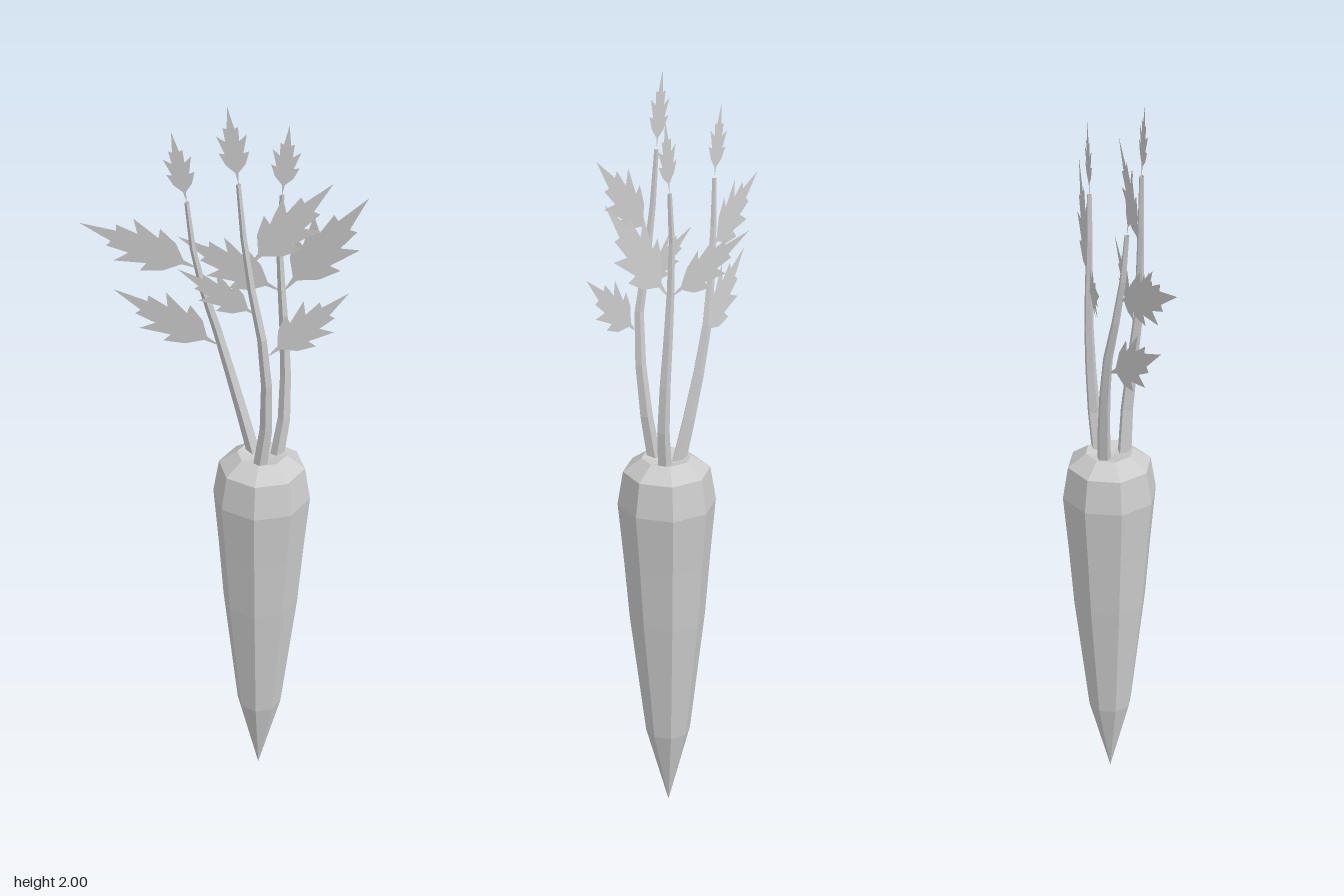
import * as THREE from 'three';

const grey = new THREE.MeshStandardMaterial({ color: 0xcccccc, flatShading: true });
const thin = new THREE.MeshStandardMaterial({ color: 0xcccccc, flatShading: true, side: THREE.DoubleSide });
const V = (p) => new THREE.Vector3(...p);

// Lobed leaf outline of unit length, growing along +y
const half = [[0.02, 0.15], [0.13, 0.26], [0.2, 0.42], [0.12, 0.4], [0.2, 0.64], [0.09, 0.56], [0.1, 0.74], [0.05, 0.72]];
const outline = [[0, 0], ...half, [0, 1], ...half.map(([x, y]) => [-x, y]).reverse()];
const leafGeometry = new THREE.ShapeGeometry(new THREE.Shape(outline.map(([x, y]) => new THREE.Vector2(x, y))));

// Flat upright leaf from its base to its tip
function makeLeaf(name, from, to, width = 1) {
  const a = V(from), dir = V(to).sub(a), length = dir.length();
  dir.normalize();
  const side = dir.clone().cross(new THREE.Vector3(0, 0, 1)).normalize();
  const leaf = new THREE.Mesh(leafGeometry, thin);
  leaf.name = name;
  leaf.quaternion.setFromRotationMatrix(new THREE.Matrix4().makeBasis(side, dir, side.clone().cross(dir)));
  leaf.position.copy(a);
  leaf.scale.set(length * width, length, length);
  return leaf;
}

// Tapering stalk: a tube whose rings shrink towards the end
function makeStalk(points, r0, r1, steps = 6, sides = 5) {
  const curve = new THREE.CatmullRomCurve3(points.map(V));
  const geo = new THREE.TubeGeometry(curve, steps, 1, sides, false);
  const pos = geo.attributes.position, p = new THREE.Vector3();
  for (let i = 0; i < pos.count; i++) {
    const t = Math.floor(i / (sides + 1)) / steps;
    const c = curve.getPointAt(t);
    p.fromBufferAttribute(pos, i).sub(c).multiplyScalar(r0 + (r1 - r0) * t).add(c);
    pos.setXYZ(i, p.x, p.y, p.z);
  }
  geo.computeVertexNormals();
  const mesh = new THREE.Mesh(geo, thin);
  mesh.name = 'stalk';
  return mesh;
}

// Each stem: its path, the top leaf's tip, and side leaves as [base, tip]
const stems = [
  {
    name: 'leftStem',
    path: [[0.08, 1.01, -0.02], [0.04, 1.15, -0.03], [-0.02, 1.36, -0.035], [-0.07, 1.55, -0.015], [-0.09, 1.72, -0.005]],
    tip: [-0.125, 1.9, 0],
    leaves: [[[-0.01, 1.32, -0.03], [-0.27, 1.49, 0.03]], [[-0.06, 1.54, -0.015], [-0.345, 1.67, 0.045]]],
  },
  {
    name: 'frontStem',
    path: [[0.1, 1.01, 0.04], [0.12, 1.18, 0.055], [0.11, 1.4, 0.078], [0.07, 1.6, 0.072], [0.047, 1.81, 0.068]],
    tip: [0.02, 2, 0.068],
    leaves: [
      [[0.12, 1.36, 0.075], [0.315, 1.55, 0.07]],
      [[0.07, 1.6, 0.072], [0.27, 1.83, 0.07]],
      [[0.1, 1.47, 0.075], [-0.1, 1.58, 0.072]],
    ],
  },
  {
    name: 'backStem',
    path: [[0.135, 1.01, -0.02], [0.153, 1.15, -0.03], [0.145, 1.4, -0.042], [0.13, 1.6, -0.042], [0.135, 1.74, -0.04]],
    tip: [0.15, 1.92, -0.04],
    leaves: [[[0.14, 1.48, -0.042], [0.345, 1.76, -0.015]], [[0.14, 1.48, -0.042], [-0.13, 1.59, -0.083]]],
  },
];

export function createModel() {
  const model = new THREE.Group();
  model.name = 'carrot';

  // Eight-sided root with a slightly sunken crown
  const profile = [[0, 0], [0.06, 0.23], [0.1, 0.58], [0.113, 0.75], [0.127, 0.91], [0.112, 1.0], [0.064, 1.035], [0, 1.02]];
  const root = new THREE.Mesh(new THREE.LatheGeometry(profile.map(([x, y]) => new THREE.Vector2(x, y)), 8), grey);
  root.name = 'root';
  root.position.x = 0.1;
  model.add(root);

  // Stems with their leaves
  for (const { name, path, tip, leaves } of stems) {
    const stem = new THREE.Group();
    stem.name = name;
    stem.add(makeStalk(path, 0.019, 0.006));
    stem.add(makeLeaf('topLeaf', path[path.length - 1], tip, 0.95));
    leaves.forEach(([from, to]) => stem.add(makeLeaf('sideLeaf', from, to)));
    model.add(stem);
  }
  return model;
}
